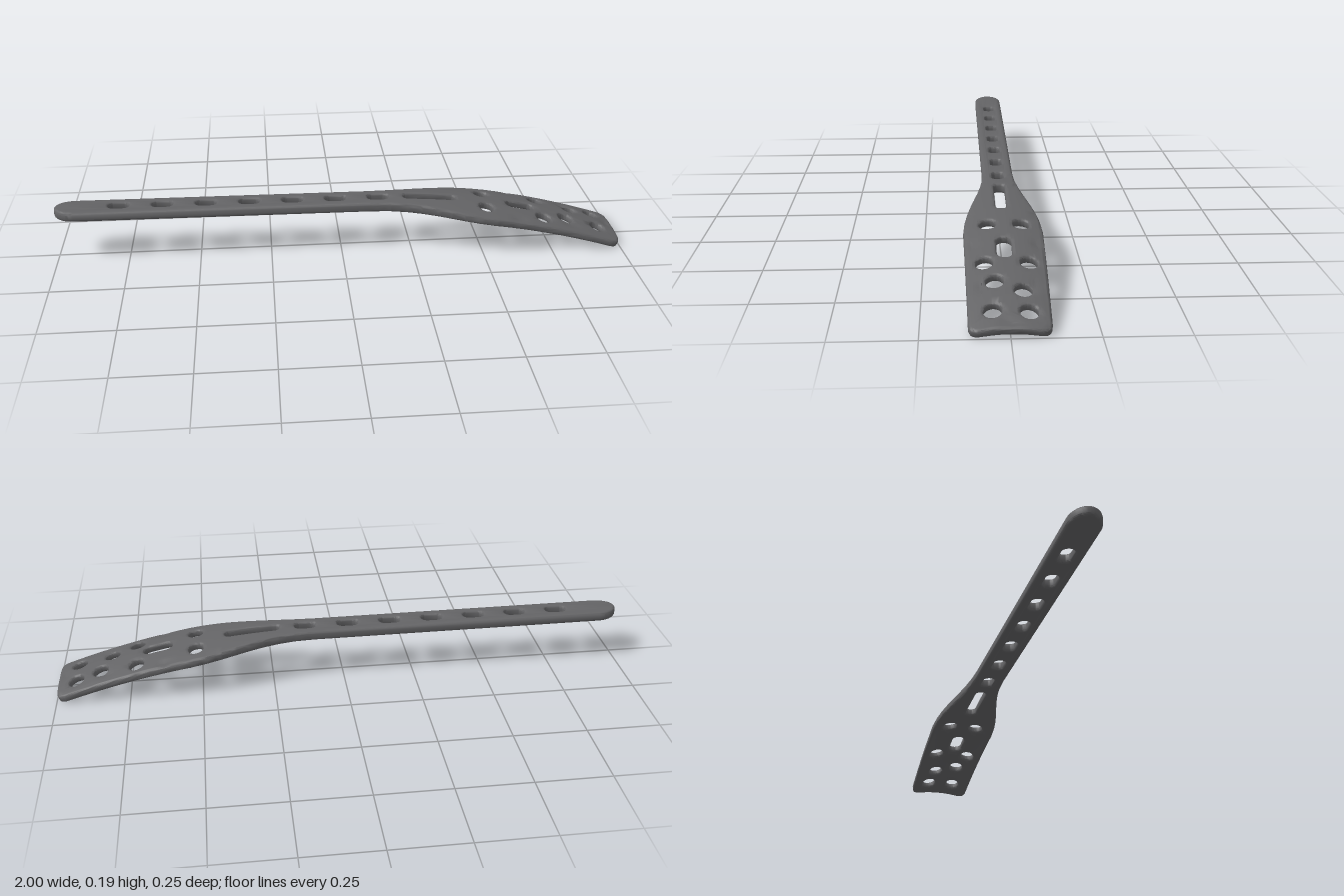
import * as THREE from 'three';
import { mergeVertices, toCreasedNormals } from 'three/addons/utils/BufferGeometryUtils.js';

const BEVEL = 0.009, THICK = 0.034;

// Rounded slot centred on (x, z); a zero half length gives a round hole
function slot(x, z, halfLength, r) {
  const p = new THREE.Path();
  p.absarc(x + halfLength, -z, r, -Math.PI / 2, Math.PI / 2);
  p.absarc(x - halfLength, -z, r, Math.PI / 2, Math.PI * 1.5);
  return p;
}

// Plan outline: slim shaft with a round tip, flaring into a wide head
function plateOutline() {
  const s = new THREE.Shape();
  s.moveTo(-0.93, -0.053);
  s.lineTo(0.1, -0.053);
  s.bezierCurveTo(0.3, -0.055, 0.38, -0.118, 0.54, -0.123);
  s.lineTo(0.965, -0.116);
  s.quadraticCurveTo(1, -0.115, 1, -0.08);
  s.lineTo(1, 0.08);
  s.quadraticCurveTo(1, 0.115, 0.965, 0.116);
  s.lineTo(0.54, 0.123);
  s.bezierCurveTo(0.38, 0.118, 0.3, 0.055, 0.1, 0.053);
  s.lineTo(-0.93, 0.053);
  s.absellipse(-0.93, 0, 0.07, 0.053, Math.PI / 2, Math.PI * 1.5);

  // Seven shaft slots, the long neck slot and the head holes
  for (let i = 0; i < 7; i++) s.holes.push(slot(-0.778 + i * 0.1515, 0, 0.017, 0.02));
  s.holes.push(slot(0.318, 0, 0.078, 0.018));
  s.holes.push(slot(0.648, 0.002, 0.028, 0.023));
  const round = [
    [0.516, -0.056], [0.516, 0.048], [0.722, -0.067], [0.722, 0.064],
    [0.848, -0.043], [0.81, 0.037], [0.933, -0.054], [0.928, 0.047],
  ];
  for (const [x, z] of round) s.holes.push(slot(x, z, 0, 0.026));
  return s;
}

// Cut every polygon in two where it crosses the plane axis = value
function cut(polygons, axis, value) {
  const out = [];
  for (const poly of polygons) {
    const dist = poly.map((p) => (Math.abs(p[axis] - value) < 1e-6 ? 0 : p[axis] - value));
    if (dist.every((d) => d >= 0) || dist.every((d) => d <= 0)) {
      out.push(poly);
      continue;
    }
    const above = [], below = [];
    poly.forEach((p, i) => {
      const j = (i + 1) % poly.length;
      if (dist[i] >= 0) above.push(p);
      if (dist[i] <= 0) below.push(p);
      if (dist[i] * dist[j] < 0) {
        const m = p.clone().lerp(poly[j], dist[i] / (dist[i] - dist[j]));
        above.push(m);
        below.push(m);
      }
    });
    out.push(above, below);
  }
  return out;
}

// Slice the neck and head on a grid so that they can bend smoothly
function slice(geometry) {
  const src = geometry.getAttribute('position');
  const at = (i) => new THREE.Vector3().fromBufferAttribute(src, i);
  let polygons = [];
  for (let i = 0; i < src.count; i += 3) polygons.push([at(i), at(i + 1), at(i + 2)]);
  for (let i = 0; i < 36; i++) polygons = cut(polygons, 'x', 0.1 + i * 0.025);
  for (let i = -4; i <= 4; i++) polygons = cut(polygons, 'z', i * 0.025);

  const points = [];
  for (const poly of polygons) {
    for (let k = 1; k < poly.length - 1; k++) points.push(poly[0], poly[k], poly[k + 1]);
  }
  return new THREE.BufferGeometry().setFromPoints(points);
}

// Shallow blind dimples on the head's upper face
const dimples = [[0.625, -0.1], [0.825, -0.075], [0.625, 0.1], [0.825, 0.075], [0.975, 0]];

// Bend the flat plate down toward the head and arch it across its width
function bend(geometry) {
  const pos = geometry.getAttribute('position');
  for (let i = 0; i < pos.count; i++) {
    const x = pos.getX(i), z = pos.getZ(i);
    const v = (pos.getY(i) + BEVEL) / THICK;
    const d = Math.max(0, x - 0.15);
    const top = 0.2 - 0.005 * x - 0.205 * d ** 1.925;
    const slope = -0.005 - 0.395 * d ** 0.925;
    const t = THICK - 0.007 * THREE.MathUtils.smoothstep(x, 0.2, 0.6);
    const arch = 0.015 * (z / 0.12) ** 2;
    let dip = 0;
    for (const [dx, dz] of dimples) {
      dip += 0.006 * Math.exp(-((x - dx) ** 2 + (z - dz) ** 2) / 0.0003);
    }
    const down = (1 - v) * t + dip * v;
    const n = Math.hypot(1, slope);
    pos.setXYZ(i, x + (down * slope) / n, top - arch - down / n, z);
  }
}

export function createModel() {
  const metal = new THREE.MeshStandardMaterial({ color: 0x646466 });
  metal.name = 'dark grey metal';

  const flat = new THREE.ExtrudeGeometry(plateOutline(), {
    depth: THICK - 2 * BEVEL,
    bevelThickness: BEVEL,
    bevelSize: BEVEL,
    bevelOffset: -BEVEL,
    bevelSegments: 3,
    curveSegments: 8,
  });
  flat.rotateX(-Math.PI / 2);

  let geometry = mergeVertices(slice(flat), 1e-5);
  bend(geometry);
  geometry = toCreasedNormals(geometry, 0.75);

  // Stand on the ground, centred
  geometry.computeBoundingBox();
  const box = geometry.boundingBox;
  geometry.translate(-(box.min.x + box.max.x) / 2, -box.min.y, -(box.min.z + box.max.z) / 2);

  const plate = new THREE.Mesh(geometry, metal);
  plate.name = 'perforatedPlate';
  const model = new THREE.Group();
  model.name = 'bonePlate';
  model.add(plate);
  return model;
}
